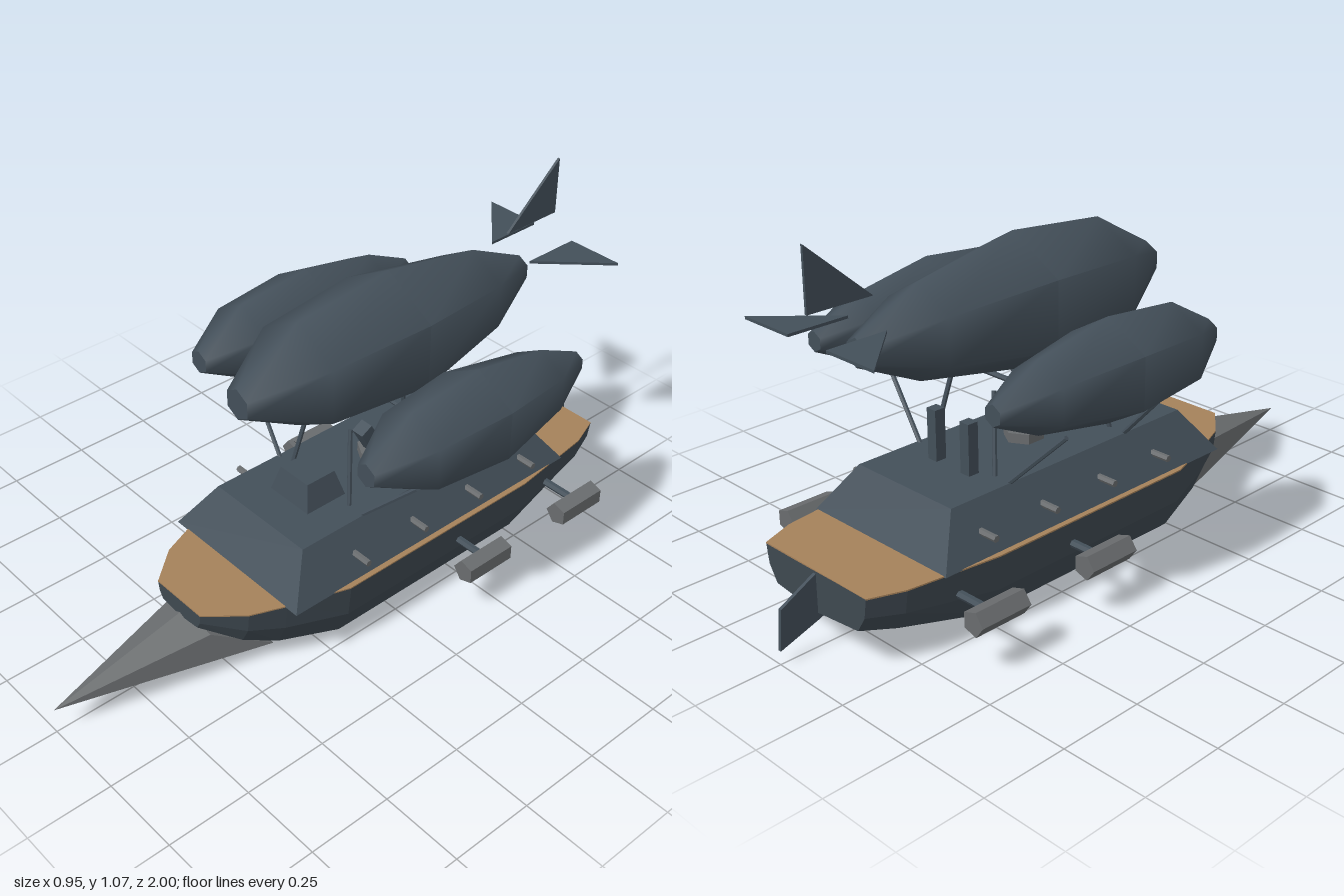
import * as THREE from 'three';
import { toCreasedNormals } from 'three/addons/utils/BufferGeometryUtils.js';
import { ConvexGeometry } from 'three/addons/geometries/ConvexGeometry.js';

const material = (name, color, extra = {}) => {
  const m = new THREE.MeshStandardMaterial({ color, ...extra });
  m.name = name;
  return m;
};

export function createModel() {
  const model = new THREE.Group();
  model.name = 'airship';
  const flat = { flatShading: true };
  const slate = material('slate', 0x434f59, flat);
  const cloth = material('slateCloth', 0x434f59);
  const hullPaint = material('darkHull', 0x3e4850, flat);
  const wood = material('deckWood', 0xa5815a, flat);
  const iron = material('ironGrey', 0x696c6e, flat);

  const add = (name, geometry, mat, x = 0, y = 0, z = 0) => {
    const mesh = new THREE.Mesh(geometry, mat);
    mesh.name = name;
    mesh.position.set(x, y, z);
    model.add(mesh);
    return mesh;
  };

  // Straight rod between two points
  const rod = (name, from, to, radius, mat, sides = 6) => {
    const a = new THREE.Vector3(...from), b = new THREE.Vector3(...to);
    const dir = b.clone().sub(a);
    const mesh = add(name, new THREE.CylinderGeometry(radius, radius, dir.length(), sides), mat);
    mesh.position.copy(a).add(b).multiplyScalar(0.5);
    mesh.quaternion.setFromUnitVectors(new THREE.Vector3(0, 1, 0), dir.normalize());
  };

  // Box standing on y = 0 whose top is narrowed
  const taperedBox = (w, h, d, topW, topD) => {
    const g = new THREE.BoxGeometry(w, h, d).translate(0, h / 2, 0);
    const p = g.attributes.position;
    for (let i = 0; i < p.count; i++) {
      if (p.getY(i) > h / 2) p.setXYZ(i, p.getX(i) * topW / w, h, p.getZ(i) * topD / d);
    }
    g.computeVertexNormals();
    return g;
  };

  // Thin plate from a 2D outline, centred on its own plane
  const plate = (points, thickness) => new THREE.ExtrudeGeometry(
    new THREE.Shape(points.map(([x, y]) => new THREE.Vector2(x, y))),
    { depth: thickness, bevelEnabled: false }).translate(0, 0, -thickness / 2);

  // Hull lofted through stations: z, half width, keel height
  const deckY = 0.226;
  const stations = [
    [0.58, 0.095, 0.165], [0.48, 0.18, 0.095], [0.38, 0.22, 0.045], [0.2, 0.28, 0.005],
    [-0.5, 0.28, 0.005], [-0.78, 0.243, 0.08], [-0.88, 0.205, 0.105],
  ];
  const section = [[1, 1], [0.957, 0.53], [0.815, 0.14], [0, 0], [-0.815, 0.14], [-0.957, 0.53], [-1, 1]];
  const rings = stations.map(([z, w, k]) => section.map(([sx, sy]) => [sx * w, k + (deckY - k) * sy, z]));
  const tris = [];
  for (let i = 0; i < rings.length - 1; i++) {
    for (let j = 0; j < section.length - 1; j++) {
      const a = rings[i][j], b = rings[i][j + 1], c = rings[i + 1][j + 1], d = rings[i + 1][j];
      tris.push(a, b, c, a, c, d);
    }
  }
  const bow = rings[0], stern = rings[rings.length - 1];
  for (let k = 1; k < section.length - 1; k++) {
    tris.push(bow[0], bow[k + 1], bow[k], stern[0], stern[k], stern[k + 1]);
  }
  const hull = new THREE.BufferGeometry();
  hull.setAttribute('position', new THREE.Float32BufferAttribute(tris.flat(), 3));
  hull.computeVertexNormals();
  add('hull', hull, hullPaint);

  // Wooden deck following the hull outline
  const outline = [
    ...stations.map(([z, w]) => [w, -z]),
    ...stations.slice().reverse().map(([z, w]) => [-w, -z]),
  ];
  add('deck', plate(outline, 0.004).rotateX(-Math.PI / 2), wood, 0, deckY, 0);

  // Ram on the bow
  add('ram', new ConvexGeometry([
    [0, 0.085, 1], [0, 0.18, 0.56], [0.095, 0.14, 0.55], [-0.095, 0.14, 0.55],
    [0.155, 0.045, 0.38], [-0.155, 0.045, 0.38],
  ].map(p => new THREE.Vector3(...p))), iron);

  // Rudder in the plane x = 0
  add('rudder', plate([[0.84, 0.22], [0.88, 0.218], [0.99, 0.16], [1, 0.045], [0.88, 0.085], [0.84, 0.1]], 0.01)
    .rotateY(Math.PI / 2), slate);

  // Cabin and bridge
  add('cabin', taperedBox(0.53, 0.13, 1.06, 0.37, 0.875), slate, 0, deckY, -0.145);
  add('bridge', taperedBox(0.16, 0.08, 0.14, 0.115, 0.1), slate, 0, 0.355, 0.115);

  // Deck gun on its turntable
  add('turntable', new THREE.CylinderGeometry(0.058, 0.058, 0.03, 6), iron, 0, 0.37, -0.148);
  add('deckGun', new THREE.BoxGeometry(0.042, 0.11, 0.042), slate, 0, 0.428, -0.117).rotation.x = 0.5;

  // Gas bags: one large, two smaller
  const profile = [[0, -0.533], [0.04, -0.533], [0.135, -0.33], [0.197, 0], [0.166, 0.325], [0.048, 0.533], [0, 0.533]];
  const bag = toCreasedNormals(
    new THREE.LatheGeometry(profile.map(([r, y]) => new THREE.Vector2(r, y)), 6).rotateX(Math.PI / 2), 1.07);
  add('mainGasBag', bag, cloth, 0, 0.765, -0.182);
  for (const s of [1, -1]) {
    add('sideGasBag', bag, cloth, s * 0.349, 0.664, -0.185).scale.setScalar(0.751);
  }

  // Tail fins
  add('tailFin', plate([[0.655, 0.9], [0.855, 0.9], [0.855, 1.075]], 0.008).rotateY(Math.PI / 2), slate);
  for (const s of [1, -1]) {
    add('tailPlane', plate([[s * 0.075, 0.675], [s * 0.075, 0.858], [s * 0.253, 0.858]], 0.008)
      .rotateX(-Math.PI / 2), slate, 0, 0.829, 0);
  }

  // Rigging
  rod('crossBar', [-0.35, 0.535, -0.19], [0.35, 0.535, -0.19], 0.008, slate);
  for (const s of [1, -1]) {
    for (const [low, high] of [[0.07, 0.03], [-0.375, -0.335]]) {
      rod('mainStrut', [s * 0.125, 0.35, low], [s * 0.084, 0.575, high], 0.007, slate);
      rod('sideStrut', [s * 0.175, 0.35, low], [s * 0.35, 0.525, high], 0.007, slate);
    }

    // Funnels
    add('funnel', new THREE.BoxGeometry(0.034, 0.15, 0.034), slate, s * 0.065, 0.43, -0.41);

    // Broadside guns
    for (let i = 0; i < 4; i++) {
      const z = 0.14 - i * 0.22;
      rod('broadsideGun', [s * 0.2, 0.284, z], [s * 0.286, 0.284, z], 0.01, iron);
    }

    // Engine pods on outriggers
    for (const z of [-0.22, -0.612]) {
      const pod = new THREE.CylinderGeometry(0.037, 0.037, 0.165, 5).rotateX(Math.PI / 2).rotateZ(Math.PI / 2 * -1);
      pod.computeBoundingBox();
      if (pod.boundingBox.max.x > -pod.boundingBox.min.x + 0.001) pod.rotateZ(Math.PI);
      add('enginePod', pod, iron, s * 0.382, 0.154, z);
      rod('outrigger', [s * 0.25, 0.155, z - 0.01], [s * 0.37, 0.155, z - 0.01], 0.012, slate);
    }
  }
  return model;
}
